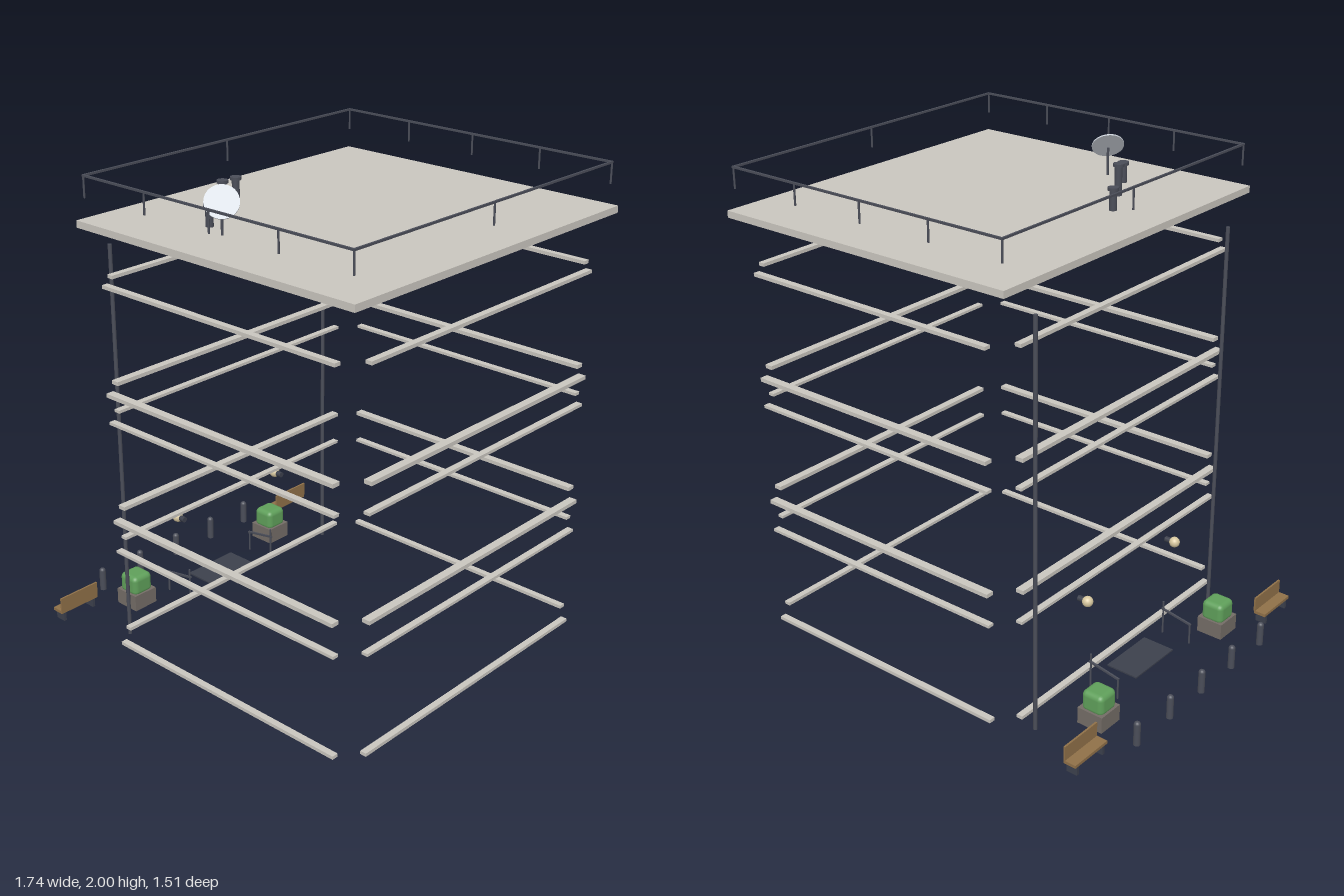
import * as THREE from 'three';
import { RoundedBoxGeometry } from 'three/addons/geometries/RoundedBoxGeometry.js';

const mat = (color) => new THREE.MeshStandardMaterial({ color });
const stone = mat(0xc9c5be), metal = mat(0x4a4d58), wood = mat(0x8f7048), leaf = mat(0x5f9f5a);
const planterMat = mat(0x736c66), dark = mat(0x3c404c), cream = mat(0xd8c8a0), dishMat = mat(0xc4cad2);

export function createModel() {
  const model = new THREE.Group();

  const add = (name, geo, material, x, y, z, parent = model) => {
    const m = new THREE.Mesh(geo, material);
    m.name = name;
    m.position.set(x, y, z);
    parent.add(m);
    return m;
  };
  // box given by its min and max on each axis
  const box = (name, material, [x0, x1], [y0, y1], [z0, z1], parent) =>
    add(name, new THREE.BoxGeometry(x1 - x0, y1 - y0, z1 - z0), material,
      (x0 + x1) / 2, (y0 + y1) / 2, (z0 + z1) / 2, parent);
  // upright cylinder from y0 to y1
  const post = (name, material, r, x, y0, y1, z, parent) =>
    add(name, new THREE.CylinderGeometry(r, r, y1 - y0, 16), material, x, (y0 + y1) / 2, z, parent);
  const group = (name) => {
    const g = new THREE.Group();
    g.name = name;
    model.add(g);
    return g;
  };

  const cx = 0.187; // centre of the building

  // Roof slab
  box('roofSlab', stone, [-0.49, 0.865], [1.8, 1.828], [-0.754, 0.754]);

  // Roof railing: four top bars and hanging posts
  const railing = group('roofRailing');
  const rx = 0.652, rz = 0.73, t = 0.004;
  for (const s of [-1, 1]) {
    box('railBar', metal, [cx - rx - t, cx + rx + t], [1.992, 2], [s * rz - t, s * rz + t], railing);
    box('railBar', metal, [cx + s * rx - t, cx + s * rx + t], [1.992, 2], [-rz, rz], railing);
    for (let i = -2; i <= 2; i++) post('railPost', metal, t, cx + i * rx / 2, 1.912, 1.996, s * rz, railing);
    post('railPost', metal, t, cx + s * rx, 1.912, 1.996, 0, railing);
  }

  // Roof vents with caps
  for (const [x, z, top] of [[-0.257, 0.162, 1.918], [-0.161, 0.325, 1.955], [-0.074, 0.478, 1.912]]) {
    const vent = group('roofVent');
    post('ventPipe', metal, 0.015, x, 1.828, top - 0.01, z, vent);
    post('ventCap', metal, 0.022, x, top - 0.012, top, z, vent);
  }

  // Tilted dish on a mast
  post('dishMast', metal, 0.005, 0.034, 1.828, 1.94, 0.52);
  const dish = add('dish', new THREE.CylinderGeometry(0.065, 0.065, 0.006, 32), dishMat, 0.035, 1.95, 0.52);
  dish.quaternion.setFromUnitVectors(new THREE.Vector3(0, 1, 0), new THREE.Vector3(1, 1, 1).normalize());

  // Facade bands on all four sides: [height, thickness, extra projection]
  const bands = group('facadeBands');
  for (const [y, h, e] of [[0.061, 0.014, 0], [0.483, 0.012, 0], [0.617, 0.016, 0.007],
    [1.039, 0.012, 0], [1.157, 0.016, 0.007], [1.59, 0.014, 0]]) {
    const ys = [y - h / 2, y + h / 2];
    const xi = 0.628, xo = 0.655 + e, zi = 0.708, zo = 0.735 + e;
    box('frontBand', stone, [-0.388, 0.765], ys, [zi, zo], bands);
    box('backBand', stone, [-0.388, 0.765], ys, [-zo, -zi], bands);
    box('leftBand', stone, [cx + xi, cx + xo], ys, [-0.64, 0.64], bands);
    box('rightBand', stone, [cx - xo, cx - xi], ys, [-0.64, 0.64], bands);
  }

  // Entrance mat
  box('entranceMat', dark, [-0.633, -0.49], [0.037, 0.043], [-0.128, 0.128]);

  // Street furniture mirrored along z
  for (const s of [-1, 1]) {
    post('drainPipe', metal, 0.008, -0.497, 0, 1.7, s * 0.597);

    // Handrail: tall inner post, short outer post, sloping bar
    const handrail = group('handrail');
    const hz = s * 0.25;
    post('handrailPost', metal, 0.004, -0.498, 0.01, 0.16, hz, handrail);
    post('handrailPost', metal, 0.004, -0.631, 0.01, 0.1, hz, handrail);
    const bar = add('handrailBar', new THREE.BoxGeometry(0.148, 0.008, 0.008), metal, -0.563, 0.112, hz, handrail);
    bar.rotation.z = Math.atan2(0.025, 0.145);

    // Globe lamp on a short arm
    const lamp = group('wallLamp');
    const arm = add('lampArm', new THREE.CylinderGeometry(0.012, 0.012, 0.044, 16), dark, -0.489, 0.428, s * 0.294, lamp);
    arm.rotation.z = Math.PI / 2;
    add('lampGlobe', new THREE.SphereGeometry(0.022, 20, 14), cream, -0.51, 0.428, s * 0.294, lamp);

    // Planter with clipped shrub
    const planter = group('planter');
    const pz = s * 0.413;
    box('planterBox', planterMat, [-0.718, -0.602], [0.008, 0.078], [pz - 0.058, pz + 0.058], planter);
    add('shrub', new RoundedBoxGeometry(0.1, 0.09, 0.1, 3, 0.022), leaf, -0.66, 0.111, pz, planter);

    // Bench
    const bench = group('bench');
    const bz = s * 0.652;
    box('benchSeat', wood, [-0.807, -0.753], [0.055, 0.068], [bz - 0.097, bz + 0.097], bench);
    box('benchBack', wood, [-0.759, -0.751], [0.068, 0.128], [bz - 0.097, bz + 0.097], bench);
    for (const k of [-1, 1]) {
      const lz = bz + k * 0.078;
      box('benchLeg', dark, [-0.804, -0.756], [0.015, 0.055], [lz - 0.006, lz + 0.006], bench);
    }
  }

  // Row of bollards with domed tops
  for (let i = -2; i <= 2; i++) {
    const bollard = group('bollard');
    post('bollardShaft', metal, 0.014, -0.857, 0.005, 0.096, i * 0.218, bollard);
    add('bollardTop', new THREE.SphereGeometry(0.014, 16, 8, 0, Math.PI * 2, 0, Math.PI / 2), metal,
      -0.857, 0.096, i * 0.218, bollard);
  }

  return model;
}
